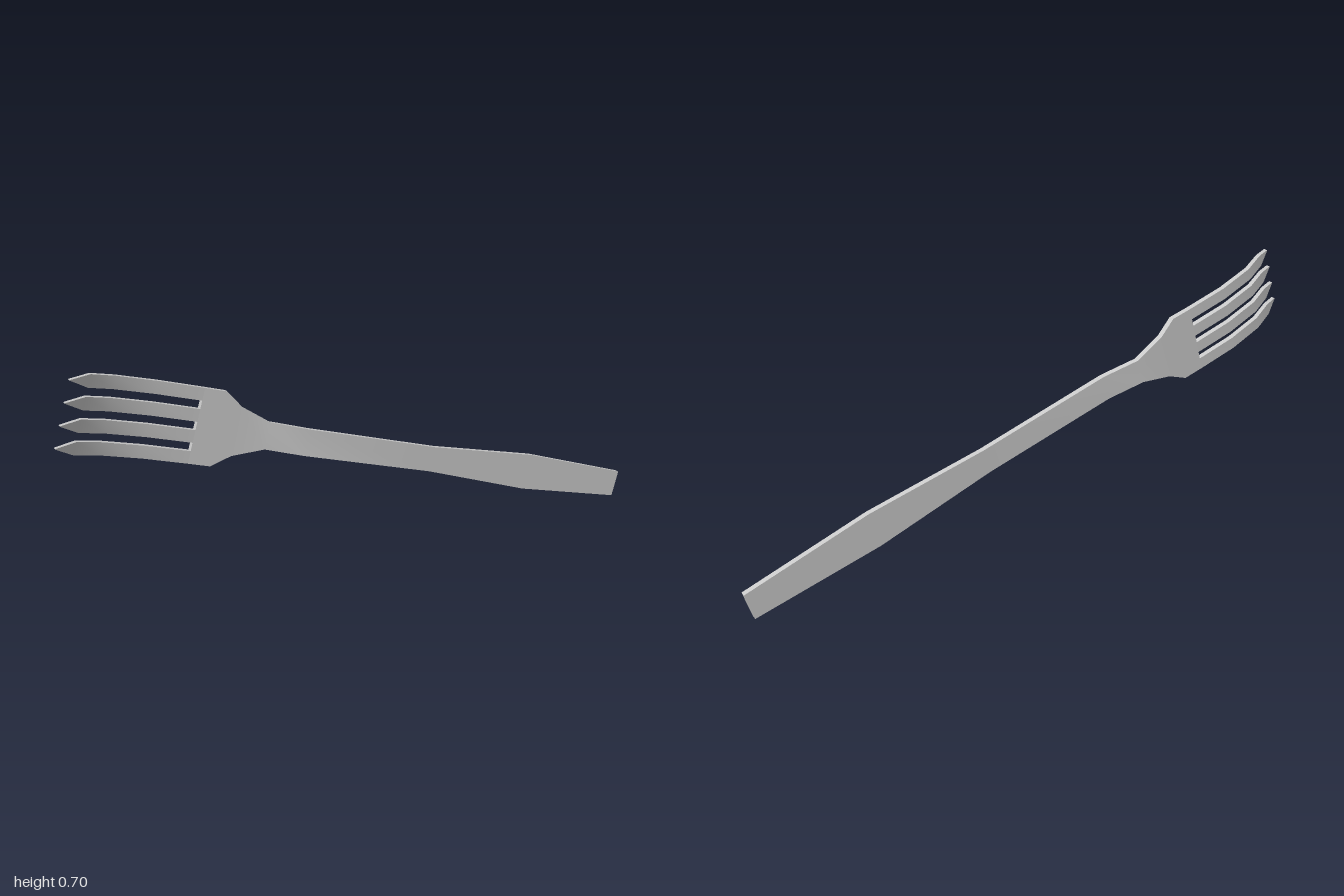
import * as THREE from 'three';
import { toCreasedNormals } from 'three/addons/utils/BufferGeometryUtils.js';

// Four corners of a rectangular section: [along, half width, front z, back z]
const corners = ([s, half, front, back], y = 0) => [
  [s, y - half, front], [s, y + half, front],
  [s, y + half, back], [s, y - half, back],
];

const quad = (out, a, b, c, d) => out.push(...a, ...b, ...c, ...a, ...c, ...d);

// Skin a run of sections that goes from the handle end towards the tips
function skin(out, sections, y = 0) {
  const rings = sections.map((section) => corners(section, y));
  for (let k = 0; k < rings.length - 1; k++) {
    const p = rings[k], q = rings[k + 1];
    for (let i = 0; i < 4; i++) {
      const j = (i + 1) % 4;
      quad(out, p[i], p[j], q[j], q[i]);
    }
  }
  return rings;
}

function makeMesh(name, positions, material) {
  const geometry = new THREE.BufferGeometry();
  geometry.setAttribute('position', new THREE.Float32BufferAttribute(positions, 3));
  const mesh = new THREE.Mesh(toCreasedNormals(geometry, Math.PI / 6), material);
  mesh.name = name;
  return mesh;
}

export function createModel() {
  const material = new THREE.MeshStandardMaterial({ color: 0xcccccc });
  const fork = new THREE.Group();
  fork.name = 'fork';

  const pitch = 0.0623, tineHalf = 0.0187, root = -0.685;
  const headHalf = 1.5 * pitch + tineHalf;

  // Handle, neck and head plate
  const body = [];
  const bodyRings = skin(body, [
    [0.936, 0.044, -0.053, -0.071],
    [0.527, 0.059, -0.039, -0.057],
    [0.131, 0.040, -0.026, -0.044],
    [-0.333, 0.041, -0.010, -0.029],
    [-0.457, 0.041, -0.027, -0.046],
    [-0.558, 0.074, -0.028, -0.047],
    [-0.615, headHalf, -0.028, -0.047],
    [root, headHalf, -0.028, -0.046],
  ]);
  const [a, b, c, d] = bodyRings[0];
  quad(body, a, d, c, b);

  // Walls at the closed ends of the three slots
  for (let i = -1; i <= 1; i++) {
    quad(body, ...corners([root, pitch / 2 - tineHalf, -0.028, -0.046], i * pitch));
  }
  fork.add(makeMesh('handleAndHead', body, material));

  // Four curved, pointed tines
  for (let i = 0; i < 4; i++) {
    const tine = [];
    const rings = skin(tine, [
      [root, tineHalf, -0.028, -0.046],
      [-0.828, tineHalf, -0.022, -0.040],
      [-0.960, tineHalf, 0.002, -0.015],
      [-1.040, tineHalf, 0.037, 0.021],
      [-1.103, 0.0008, 0.071, 0.056],
    ], (i - 1.5) * pitch);
    quad(tine, ...rings[rings.length - 1]);
    fork.add(makeMesh('tine' + (i + 1), tine, material));
  }

  // The fork leans diagonally, handle end down
  fork.rotation.z = THREE.MathUtils.degToRad(-16.1);
  fork.position.set(0.087, 0.303, 0);

  const model = new THREE.Group();
  model.name = 'tiltedFork';
  model.add(fork);
  return model;
}
